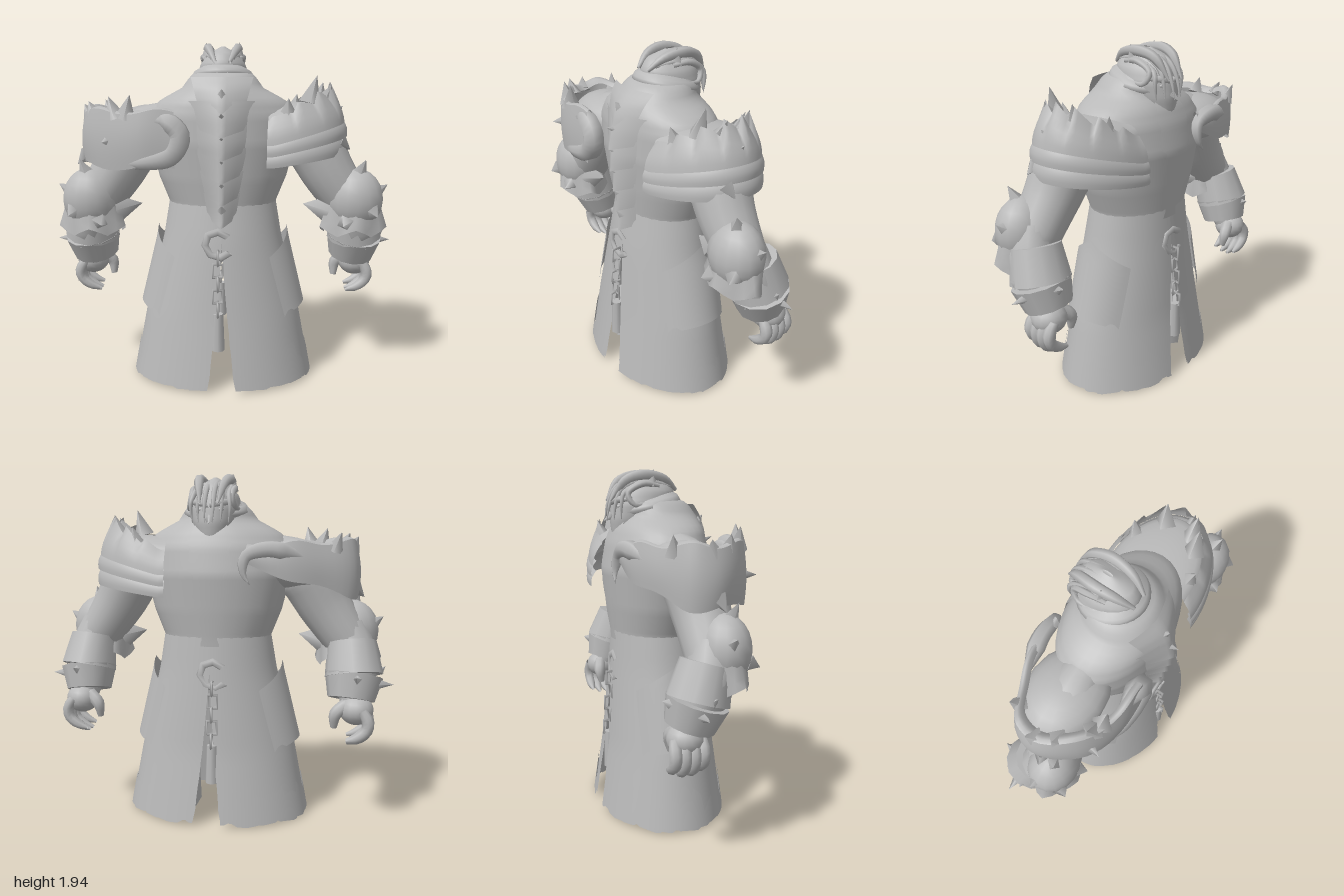
import * as THREE from 'three';
import { mergeVertices } from 'three/addons/utils/BufferGeometryUtils.js';

const V = (p) => new THREE.Vector3(...p);
const lerp = THREE.MathUtils.lerp;
const DEG = Math.PI / 180;

export function createModel() {
  const model = new THREE.Group();
  const grey = new THREE.MeshStandardMaterial({ color: 0xb9b9b9, side: THREE.DoubleSide });
  grey.name = 'grey';

  const add = (name, geo, parent = model) => {
    const m = new THREE.Mesh(geo, grey);
    m.name = name;
    parent.add(m);
    return m;
  };
  // Surface from a rule f(u, v) -> [x, y, z]
  const patch = (name, nu, nv, f, parent) => {
    const pos = [], idx = [];
    for (let j = 0; j <= nv; j++) for (let i = 0; i <= nu; i++) pos.push(...f(i / nu, j / nv));
    for (let j = 0; j < nv; j++) for (let i = 0; i < nu; i++) {
      const a = j * (nu + 1) + i, b = a + nu + 1;
      idx.push(a, a + 1, b, a + 1, b + 1, b);
    }
    let g = new THREE.BufferGeometry();
    g.setAttribute('position', new THREE.Float32BufferAttribute(pos, 3));
    g.setIndex(idx);
    g = mergeVertices(g, 1e-5);
    g.computeVertexNormals();
    return add(name, g, parent);
  };
  // Tube of changing radius
  const limb = (name, pts, radii, parent, sides = 12, seg = 16) => {
    const c = new THREE.CatmullRomCurve3(pts.map(V));
    let g = new THREE.TubeGeometry(c, seg, 1, sides);
    const p = g.attributes.position, n = g.attributes.normal;
    for (let i = 0; i < p.count; i++) {
      const t = Math.floor(i / (sides + 1)) / seg, k = Math.min(t * (radii.length - 1), radii.length - 1.0001);
      const r = lerp(radii[Math.floor(k)], radii[Math.floor(k) + 1], k % 1);
      p.setXYZ(i, p.getX(i) + n.getX(i) * (r - 1), p.getY(i) + n.getY(i) * (r - 1), p.getZ(i) + n.getZ(i) * (r - 1));
    }
    g.deleteAttribute('uv'); g.deleteAttribute('normal');
    g = mergeVertices(g, 1e-5);
    g.computeVertexNormals();
    return add(name, g, parent);
  };
  // Straight tapered cylinder or cone between two points
  const rod = (name, base, tip, r0, r1, sides, parent) => {
    const d = V(tip).sub(V(base)), m = add(name, new THREE.CylinderGeometry(r1, r0, d.length(), sides), parent);
    m.position.copy(V(base)).addScaledVector(d, 0.5);
    m.quaternion.setFromUnitVectors(new THREE.Vector3(0, 1, 0), d.normalize());
  };
  const spike = (base, tip, r, parent) => rod('spike', base, tip, r, 0, 4, parent);
  const ball = (name, p, s, parent) => {
    const m = add(name, new THREE.SphereGeometry(1, 16, 12), parent);
    m.position.set(...p); m.scale.set(...s);
    return m;
  };
  // Point on a stack of ellipses [y, rx, rz, cz] at an angle from +z
  const on = (rings, y, a, off = 0) => {
    let i = 0;
    while (i < rings.length - 2 && y > rings[i + 1][0]) i++;
    const A = rings[i], B = rings[i + 1], t = THREE.MathUtils.clamp((y - A[0]) / (B[0] - A[0]), 0, 1);
    return [(lerp(A[1], B[1], t) + off) * Math.sin(a), y, lerp(A[3], B[3], t) + (lerp(A[2], B[2], t) + off) * Math.cos(a)];
  };
  const lathe = (name, rings, n = 32, m = 24) => patch(name, n, m, (u, v) =>
    on(rings, lerp(rings[0][0], rings[rings.length - 1][0], v), u * 2 * Math.PI));
  const ragged = (u, k) => (Math.sin(u * 31 + k) > 0.2 ? 1 : 0) * 0.5 + 0.5 * Math.abs(Math.sin(u * 13 + k * 2));

  // Torso and neck
  const torso = [[1.0, 0.305, 0.235, -0.02], [1.05, 0.31, 0.24, -0.02], [1.2, 0.37, 0.26, -0.02], [1.4, 0.42, 0.28, -0.02],
    [1.55, 0.42, 0.265, -0.01], [1.63, 0.36, 0.245, 0], [1.7, 0.23, 0.21, 0.01], [1.77, 0.18, 0.18, -0.01], [1.8, 0.13, 0.13, -0.04]];
  lathe('torso', torso, 32, 32);
  patch('chestStrip', 24, 30, (u, v) => {
    const y = lerp(1.0, 1.7, v), w = (0.2 + 0.08 * ragged(v, 1)) * (0.6 + 0.7 * v);
    return on(torso, y, Math.PI + (u - 0.5) * 2 * w, 0.008);
  });

  // Spine plates, each a ridged shield with a pointed foot
  for (let k = 0; k < 6; k++) {
    const top = 1.76 - k * 0.125, w = (k ? 0.2 : 0.17) - k * 0.02, h = k ? 1 : 0.6;
    patch('spinePlate', 12, 6, (u, v) => {
      const s = u * 2 - 1, y = top - v * 0.15 - v * 0.04 * (1 - Math.abs(s));
      const x = s * w * (1 - 0.25 * v), zb = on(torso, y, Math.asin(Math.min(1, Math.abs(x) / 0.32)), 0)[2];
      return [x, y, zb + 0.008 + h * (0.025 + 0.04 * v) * (1 - Math.abs(s)) ** 1.3];
    });
    spike([0, top - 0.1, 0.25], [0, top - 0.06, k ? 0.355 - k * 0.012 : 0.28], 0.03);
  }

  // Skirt halves, open along the front and back slits
  const skirt = [[0, 0.53, 0.365, 0], [0.4, 0.455, 0.31, 0], [0.85, 0.345, 0.265, -0.01], [1.06, 0.31, 0.24, -0.02]];
  for (const s of [1, -1]) {
    const side = new THREE.Group();
    side.name = s > 0 ? 'leftSkirt' : 'rightSkirt';
    model.add(side);
    patch('skirtPanel', 48, 16, (u, v) => {
      const y = lerp(0.005 + 0.03 * ragged(u, 2), 1.06, v);
      const g = 0.15 * Math.max(0, 1 - y / 0.85) + 0.015 * Math.sin(y * 40) * Math.max(0, 0.5 - y);
      return on(skirt, y, s * lerp(g, Math.PI - g, u));
    }, side);
    // Torn hem trim
    patch('hemTrim', 72, 4, (u, v) => {
      const y = lerp(0.015 + 0.02 * ragged(u, 4), 0.1 + 0.15 * ragged(u * 1.3, 3), v);
      return on(skirt, y, s * lerp(0.15, Math.PI - 0.15, u), 0.007);
    }, side);
    // Hip flap, peaked at the side with pointed lower corners
    patch('hipFlap', 20, 10, (u, v) => {
      const c = Math.abs(u * 2 - 1), y = lerp(0.46 - 0.05 * c ** 2 + 0.02 * (c > 0.7 && c < 0.95), 0.76 + 0.15 * (1 - c), v);
      return on(skirt, y, s * (90 + (u - 0.5) * lerp(78, 90, v)) * DEG, 0.012 + 0.03 * (1 - c * c));
    }, side);
    // Boot and leg
    const leg = add('boot', new THREE.CylinderGeometry(0.12, 0.135, 0.3, 6), side);
    leg.position.set(s * 0.24, 0.16, 0);
    leg.scale.z = 1.15;
  }

  // Hooked chains at front and back
  for (const s of [1, -1]) {
    const chain = new THREE.Group();
    chain.name = 'chain';
    chain.rotation.y = s > 0 ? 0 : Math.PI;
    model.add(chain);
    const x = -0.02 * s;
    const hook = add('hook', new THREE.TorusGeometry(0.07, 0.02, 6, 6, 5), chain);
    hook.position.set(x, 0.85, 0.27); hook.scale.set(1, 1.1, 0.6); hook.rotation.z = 0.7;
    for (let i = 0; i < 5; i++) {
      const l = add('link', new THREE.TorusGeometry(0.038, 0.008, 4, 4), chain);
      l.geometry.rotateZ(Math.PI / 4);
      l.position.set(x, 0.78 - i * 0.073, 0.285 + i * 0.005);
      l.scale.y = 1.35;
      l.rotation.y = i % 2 ? 0.1 : Math.PI / 2;
    }
    rod('chainWeight', [x, 0.245, 0.295], [x, 0.46, 0.295], 0.038, 0.03, 8, chain);
  }

  // Arms
  for (const s of [1, -1]) {
    const arm = new THREE.Group();
    arm.name = s > 0 ? 'leftArm' : 'rightArm';
    model.add(arm);
    const M = (p) => [s * p[0], p[1], p[2]];
    const L = (n, pts, r, sides, seg) => limb(n, pts.map(M), r, arm, sides, seg);
    L('upperArm', [[0.32, 1.53, 0], [0.48, 1.43, 0.01], [0.61, 1.22, 0.03], [0.74, 1.03, 0.03]], [0.1, 0.17, 0.15, 0.13], 16);
    L('forearm', [[0.73, 1.1, 0.04], [0.78, 0.95, 0], [0.79, 0.66, -0.12]], [0.12, 0.13, 0.07], 14);
    // Straight cuff with a slightly narrowed wrist end
    rod('bracer', M([0.783, 0.84, -0.062]), M([0.765, 1.02, -0.01]), 0.162, 0.135, 12, arm);
    rod('bracerEnd', M([0.77, 0.71, -0.1]), M([0.783, 0.84, -0.062]), 0.13, 0.162, 12, arm);
    // Spiked elbow guard with a flared lower edge
    ball('elbowGuard', M([0.755, 1.075, 0.085]), [0.16, 0.18, 0.135], arm);
    patch('elbowFlare', 20, 3, (u, v) => {
      const a = u * 2 * Math.PI, r = lerp(0.155, 0.18 + 0.02 * Math.cos(a * 5), v);
      return M([0.745 + r * Math.sin(a), lerp(1.06, 0.9 + 0.025 * Math.cos(a * 5), v), 0.07 + 0.78 * r * Math.cos(a)]);
    }, arm);
    for (const [b, t, r] of [[[0.76, 1.2, 0.1], [0.8, 1.31, 0.14], 0.06], [[0.68, 1.17, 0.1], [0.61, 1.27, 0.12], 0.06],
      [[0.88, 1.12, 0.07], [0.94, 1.16, 0.07], 0.04], [[0.6, 1.02, 0.08], [0.46, 1.05, 0.08], 0.08],
      [[0.69, 0.96, 0.19], [0.67, 0.95, 0.24], 0.05], [[0.84, 1.02, 0.18], [0.86, 1.0, 0.23], 0.05],
      [[0.91, 0.8, -0.09], [1.0, 0.8, -0.09], 0.03],
      [[0.92, 0.86, -0.04], [0.955, 0.89, -0.03], 0.025], [[0.82, 0.78, 0.04], [0.83, 0.78, 0.08], 0.02],
      [[0.8, 0.84, -0.19], [0.8, 0.86, -0.25], 0.04]]) spike(M(b), M(t), r, arm);
    // Hand with curled fingers
    ball('palm', M([0.8, 0.66, -0.13]), [0.095, 0.085, 0.095], arm);
    for (let i = 0; i < 4; i++) {
      const z = -0.058 - i * 0.048, d = i === 0 || i === 3 ? 0.02 : 0;
      L('finger', [[0.83, 0.67, z], [0.865, 0.61, z], [0.86, 0.54 + d, z], [0.81, 0.495 + d, z], [0.75, 0.475 + d, z]], [0.026, 0.034, 0.031, 0.028, 0.01], 8, 10);
    }
    L('thumb', [[0.75, 0.69, -0.15], [0.69, 0.64, -0.17], [0.68, 0.56, -0.16]], [0.04, 0.036, 0.018], 8, 8);
  }

  // Right pauldron: an open wrapped shell with hooked ends
  const rp = new THREE.Group();
  rp.name = 'rightPauldron';
  model.add(rp);
  const wrap = new THREE.CatmullRomCurve3([[-0.25, 0, 0.31], [-0.45, 0, 0.31], [-0.66, 0, 0.23], [-0.79, 0, 0.05],
    [-0.77, 0, -0.09], [-0.6, 0, -0.2], [-0.42, 0, -0.27], [-0.2, 0, -0.28]].map(V));
  const rimY = (u) => 1.58 + 0.015 * Math.sin(u * 25) - 0.05 * Math.max(0, u - 0.6);
  patch('shell', 36, 8, (u, v) => {
    const p = wrap.getPoint(u), back = Math.max(0, u - 0.6) / 0.4;
    const k = 1 + 0.035 * Math.sin(v * Math.PI) - 0.03 * v;
    return [-0.3 + (p.x + 0.3) * k, lerp(1.28 + 0.015 * Math.sin(u * 20) + 0.17 * back, rimY(u), v), p.z * k];
  }, rp);
  // Inward-folded lip along the rim
  patch('shellLip', 36, 3, (u, v) => {
    const p = wrap.getPoint(u), k = 0.97 - 0.13 * v;
    return [-0.3 + (p.x + 0.3) * k, rimY(u) + 0.02 * Math.sin(v * Math.PI) - 0.02 * v, p.z * k];
  }, rp);
  ball('shoulderCap', [-0.47, 1.45, -0.01], [0.27, 0.14, 0.21], rp);
  limb('frontHook', [[-0.4, 1.52, 0.28], [-0.3, 1.53, 0.28], [-0.225, 1.45, 0.28], [-0.27, 1.35, 0.28], [-0.42, 1.31, 0.29], [-0.56, 1.3, 0.26]],
    [0.02, 0.06, 0.065, 0.06, 0.04, 0.01], rp, 6, 24);
  limb('backHook', [[-0.5, 1.5, -0.23], [-0.32, 1.54, -0.27], [-0.2, 1.5, -0.28], [-0.19, 1.41, -0.3], [-0.23, 1.35, -0.31]],
    [0.02, 0.05, 0.045, 0.03, 0], rp, 6, 20);
  for (const [b, t, r] of [[[-0.57, 1.54, 0.23], [-0.61, 1.66, 0.23], 0.06], [[-0.52, 1.54, 0.25], [-0.49, 1.67, 0.26], 0.06],
    [[-0.7, 1.54, 0.12], [-0.74, 1.63, 0.12], 0.06], [[-0.75, 1.54, 0.02], [-0.79, 1.61, 0], 0.05], [[-0.77, 1.33, 0.05], [-0.83, 1.27, 0.06], 0.05],
    [[-0.66, 1.53, -0.14], [-0.7, 1.63, -0.16], 0.05], [[-0.62, 1.42, 0.24], [-0.64, 1.42, 0.31], 0.03]])
    spike(b, t, r, rp);

  // Left pauldron: fanned bands under a standing saw-toothed wall
  const lp = new THREE.Group();
  lp.name = 'leftPauldron';
  model.add(lp);
  // each band: [inner, outer bottom y, inner, outer top y, bottom radius, top radius, tooth height]
  const bands = [[1.28, 1.34, 1.37, 1.47, 0.43, 0.385, 0], [1.34, 1.43, 1.43, 1.55, 0.43, 0.38, 0], [1.4, 1.51, 1.53, 1.66, 0.415, 0.33, 0.09]];
  for (const [yi, yo, ti, to, r0, r1, tooth] of bands) patch('shoulderBand', 48, 5, (u, v) => {
    const a = (u - 0.5) * 190 * DEG, c = Math.max(0, Math.cos(a)), r = lerp(r0, r1, v) + 0.02 * Math.sin(v * Math.PI);
    const saw = tooth * v * v * ((u * 8) % 1) * (0.3 + 0.7 * c);
    return [0.28 + r * Math.cos(a), lerp(lerp(yi, yo, c), lerp(ti, to, c), v) + saw, -0.02 + r * 0.71 * Math.sin(a)];
  }, lp);
  patch('shoulderCap', 28, 6, (u, v) => {
    const a = (u - 0.5) * 190 * DEG, c = Math.max(0, Math.cos(a)), r = 0.34 * Math.cos(v * 1.5);
    return [0.28 + r * Math.cos(a), 1.52 + 0.07 * c * (1 - v) + 0.09 * Math.sin(v * 1.5), -0.02 + r * 0.7 * Math.sin(a)];
  }, lp);
  for (const [b, t, r] of [[[0.36, 1.56, 0.17], [0.36, 1.65, 0.2], 0.05], [[0.48, 1.62, 0.12], [0.52, 1.77, 0.11], 0.06],
    [[0.55, 1.6, 0.06], [0.61, 1.72, 0.05], 0.06], [[0.55, 1.6, -0.1], [0.58, 1.73, -0.12], 0.06], [[0.62, 1.54, 0], [0.68, 1.6, 0], 0.05],
    [[0.66, 1.4, 0.08], [0.72, 1.36, 0.08], 0.05], [[0.42, 1.56, -0.2], [0.44, 1.66, -0.23], 0.05]]) spike(b, t, r, lp);

  // Head, collar and face
  const head = [[1.56, 0.03, 0.04, -0.2], [1.6, 0.08, 0.09, -0.17], [1.68, 0.12, 0.14, -0.13], [1.76, 0.145, 0.17, -0.09],
    [1.83, 0.13, 0.17, -0.07], [1.89, 0.08, 0.135, -0.07], [1.93, 0.01, 0.03, -0.08]];
  lathe('head', head, 24, 20);
  patch('collar', 32, 4, (u, v) => {
    const a = u * 2 * Math.PI, r = [0.165, 0.185, 0.175, 0.165, 0.13][Math.round(v * 4)];
    return [r * Math.sin(a), 1.765 + v * 0.07 - 0.07 * (1 - Math.cos(a)) / 2, -0.05 + r * Math.cos(a)];
  });
  spike([0, 1.7, -0.26], [0, 1.67, -0.31], 0.025);
  for (const s of [1, -1]) {
    ball('eye', [s * 0.05, 1.75, -0.235], [0.025, 0.012, 0.015]);
    limb('brow', [[0.0, 1.77, -0.26], [s * 0.06, 1.785, -0.245], [s * 0.12, 1.79, -0.18]], [0.015, 0.02, 0.01], model, 6, 8);
    // Swept crest, side curl and hanging locks
    limb('crest', [[s * 0.04, 1.84, 0.1], [s * 0.07, 1.9, 0.02], [s * 0.085, 1.92, -0.1], [s * 0.07, 1.89, -0.2], [s * 0.05, 1.78, -0.28]],
      [0.01, 0.025, 0.03, 0.025, 0.004], model, 6, 18);
    spike([s * 0.085, 1.86, -0.06], [s * 0.095, 1.95, -0.05], 0.04);
    limb('sideCurl', [[s * 0.1, 1.86, -0.02], [s * 0.115, 1.87, -0.12], [s * 0.11, 1.82, -0.2], [s * 0.13, 1.76, -0.17], [s * 0.14, 1.78, -0.06]],
      [0.012, 0.018, 0.018, 0.014, 0.004], model, 6, 18);
    for (let i = 0; i < 3; i++) {
      const x = s * (0.02 + i * 0.035);
      limb('lock', [[x * 0.6, 1.86, 0.06], [x, 1.905 - i * 0.015, -0.08], [x * 1.1, 1.86 - i * 0.02, -0.22], [x * 1.2, 1.77, -0.275 + i * 0.02], [x * 1.1, 1.68, -0.295 + i * 0.03]],
        [0.012, 0.018, 0.017, 0.013, 0.002], model, 6, 18);
    }
  }
  return model;
}
